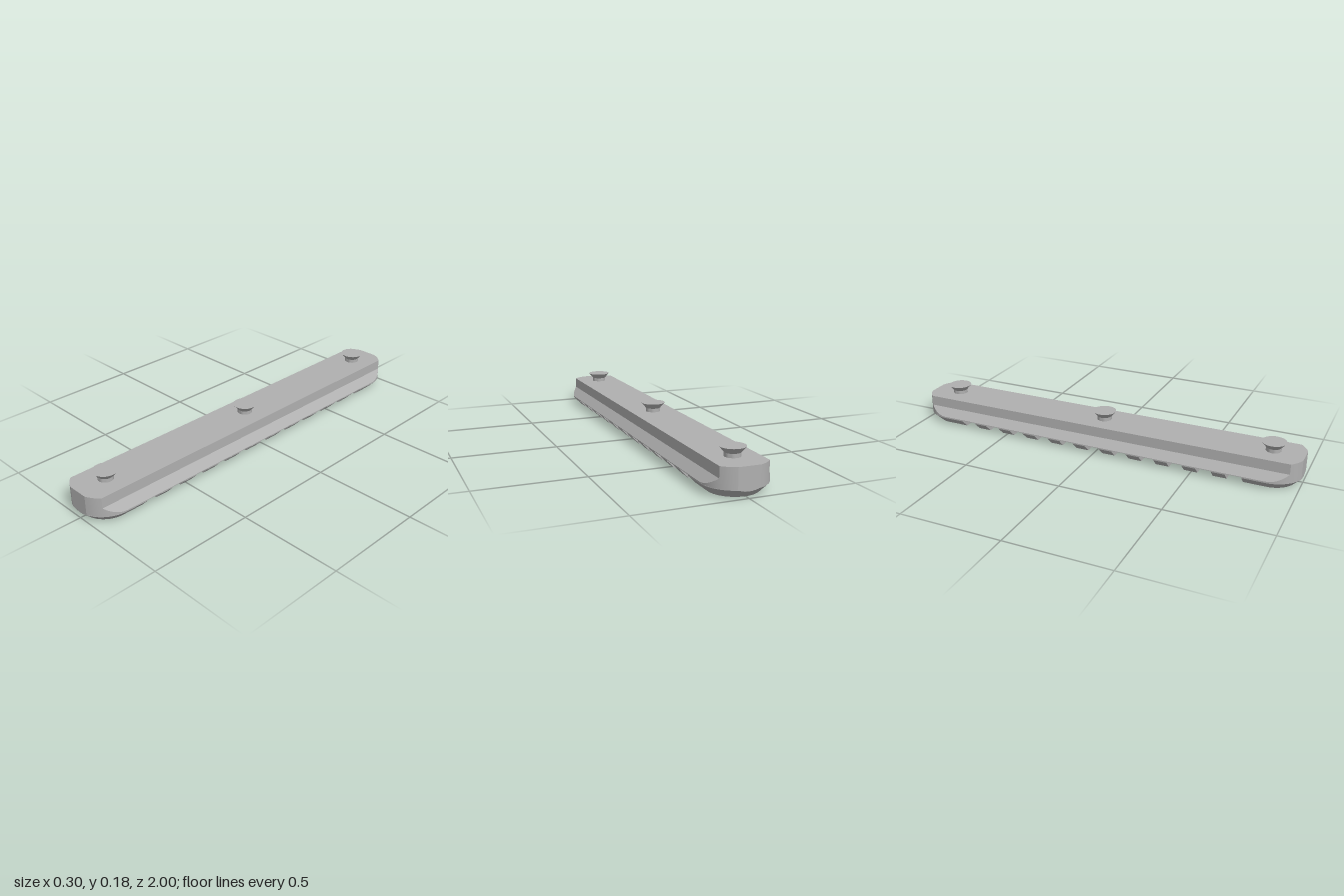
import * as THREE from 'three';
import { toCreasedNormals } from 'three/addons/utils/BufferGeometryUtils.js';

const W = 0.15;        // half width at the widest point
const NECK = 0.112;    // half width of the neck and of the flat underside
const ZC = 0.8586;     // centre of the rounded ends
const SLOT = 0.042;    // height of the slot floors
const TOP = 0.134;
const BORE = 0.062;    // radius of the screw recesses
const SEAT = 0.055;    // height of the screw seats
const SCREWS = [-0.853, 0, 0.853];

// Skin between rows of points; optional end caps, and closing of each row
function loft(rows, { closed = false, flip = false, caps = false } = {}) {
  const out = [];
  const tri = (a, b, c) => out.push(...a, ...(flip ? c : b), ...(flip ? b : c));
  const n = rows[0].length;
  for (let i = 0; i < rows.length - 1; i++) {
    for (let j = 0; j < (closed ? n : n - 1); j++) {
      const k = (j + 1) % n, p = rows[i], q = rows[i + 1];
      tri(p[j], p[k], q[k]);
      tri(p[j], q[k], q[j]);
    }
  }
  if (caps) {
    const a = rows[0], b = rows[rows.length - 1];
    for (let j = 1; j < n - 1; j++) {
      tri(a[0], a[j + 1], a[j]);
      tri(b[0], b[j], b[j + 1]);
    }
  }
  const g = new THREE.BufferGeometry();
  g.setAttribute('position', new THREE.Float32BufferAttribute(out, 3));
  return toCreasedNormals(g, 0.3);
}

function circle(z, r, sides = 32) {
  const path = new THREE.Path();
  for (let i = 0; i < sides; i++) {
    const a = (i / sides) * Math.PI * 2;
    path[i ? 'lineTo' : 'moveTo'](r * Math.cos(a), z + r * Math.sin(a));
  }
  path.closePath();
  return path;
}

// Downward facing flat plate drawn in (x, z)
function underside(points, holes, y) {
  const shape = new THREE.Shape(points.map(([x, z]) => new THREE.Vector2(x, z)));
  shape.holes = holes;
  return new THREE.ShapeGeometry(shape).rotateX(Math.PI / 2).translate(0, y, 0);
}

export function createModel() {
  const model = new THREE.Group();
  const metal = new THREE.MeshStandardMaterial({ color: 0xb0b0b0, side: THREE.DoubleSide });
  metal.name = 'grey metal';
  const add = (name, geometry, parent = model) => {
    const mesh = new THREE.Mesh(geometry, metal);
    mesh.name = name;
    parent.add(mesh);
    return mesh;
  };

  // Stations along the bar: round ends cut flat at z = 1
  const kink = Math.acos(NECK / W), last = Math.asin((1 - ZC) / W);
  const half = [];
  for (let i = 0; i <= 6; i++) half.push((kink * i) / 6);
  for (let i = 1; i <= 4; i++) half.push(kink + ((last - kink) * i) / 4);
  const ends = half.map(a => [W * Math.cos(a), ZC + W * Math.sin(a)]);
  const stations = [...ends.map(([r, z]) => [r, -z]).reverse(), ...ends];

  // Upper bar with sloped shoulders and a narrower neck
  add('railBody', loft(stations.map(([r, z]) => {
    const shoulder = Math.min(0.195 - r, 0.083), neck = Math.min(r, NECK);
    const side = [[r, SLOT], [r, shoulder], [neck, 0.083], [neck, TOP]];
    return [
      ...side.map(([x, y]) => [x, y, z]),
      ...side.reverse().map(([x, y]) => [-x, y, z]),
    ];
  }), { caps: true }));
  add('railTop', loft(stations.map(([r, z]) => {
    const x = Math.min(r, NECK);
    return [[x, TOP, z], [-x, TOP, z]];
  })));
  add('slotFloor', underside(
    [...stations, ...stations.map(([r, z]) => [-r, z]).reverse()],
    SCREWS.map(z => circle(z, BORE)), SLOT));

  // Chamfered blocks under both ends
  const outline = r => {
    const pts = [[r, 0.75]];
    for (let i = 0; i <= 48; i++) {
      const a = (Math.PI * i) / 48;
      pts.push([r * Math.cos(a), Math.min(1, ZC + r * Math.sin(a))]);
    }
    pts.push([-r, 0.75]);
    return pts;
  };
  const levels = [0, 0.0294, 0.032, 0.035, 0.038, SLOT];
  const blockSides = loft(
    levels.map(y => outline(Math.min(W, NECK + y)).map(([x, z]) => [x, y, z])),
    { closed: true, flip: true });
  const blockBase = underside(outline(NECK), [circle(SCREWS[2], BORE)], 0);
  for (const turn of [0, Math.PI]) {
    const block = new THREE.Group();
    block.name = turn ? 'backEndBlock' : 'frontEndBlock';
    block.rotation.y = turn;
    add('blockSides', blockSides, block);
    add('blockBase', blockBase, block);
    model.add(block);
  }

  // Cross teeth; the two beside the middle screw are notched
  const pitch = 0.142, width = 0.067, inner = 0.07;
  const prism = pts => new THREE.ExtrudeGeometry(
    new THREE.Shape(pts.map(([x, y]) => new THREE.Vector2(x, y))),
    { depth: width, bevelEnabled: false }).translate(0, 0, -width / 2);
  const flank = [[NECK, 0], [W, 0.038], [W, SLOT]];
  const fullTooth = prism([...flank, ...flank.map(([x, y]) => [-x, y]).reverse()]);
  const toothSide = prism([[inner, 0], ...flank, [inner, SLOT]]);
  const near = pitch / 2 - width / 2, far = near + width;
  const notch = new THREE.Shape();
  const start = Math.asin(near / BORE);
  notch.moveTo(inner, near);
  notch.lineTo(inner, far);
  notch.lineTo(-inner, far);
  notch.lineTo(-inner, near);
  notch.absarc(0, 0, BORE, Math.PI - start, start, true);
  const toothMiddle = new THREE.ExtrudeGeometry(notch, { depth: SLOT, bevelEnabled: false, curveSegments: 12 })
    .rotateX(Math.PI / 2).translate(0, SLOT, 0);
  for (let i = 0; i < 10; i++) {
    const z = (i - 4.5) * pitch;
    if (i !== 4 && i !== 5) {
      add('tooth', fullTooth).position.z = z;
      continue;
    }
    const tooth = new THREE.Group();
    tooth.name = 'notchedTooth';
    tooth.rotation.y = z < 0 ? Math.PI : 0;
    add('toothMiddle', toothMiddle, tooth);
    for (const turn of [0, Math.PI]) {
      const side = add('toothSide', toothSide, tooth);
      side.position.z = pitch / 2;
      side.rotation.y = turn;
    }
    model.add(tooth);
  }

  // Screws: flared nut on top, recess with a hexagonal socket below
  const v = (x, y) => new THREE.Vector2(x, y);
  const nut = toCreasedNormals(new THREE.LatheGeometry(
    [v(0.036, TOP - 0.002), v(0.036, 0.152), v(0.058, 0.178), v(0, 0.178)], 32), 0.4);
  const seat = underside(circle(0, BORE).getPoints().map(p => [p.x, p.y]), [circle(0, 0.036, 6)], SEAT);
  const socket = [];
  for (const y of [SEAT, 0.1]) {
    socket.push(circle(0, 0.036, 6).getPoints().slice(0, 6).map(p => [p.x, y, p.y]));
  }
  const socketWall = loft(socket, { closed: true });
  const socketEnd = underside(socket[1].map(p => [p[0], p[2]]), [], 0.1);
  for (const z of SCREWS) {
    const screw = new THREE.Group();
    screw.name = 'screw';
    screw.position.z = z;
    add('flaredNut', nut, screw);
    const low = z ? 0 : SLOT;
    add('recessWall', new THREE.CylinderGeometry(BORE, BORE, SEAT - low, 32, 1, true)
      .translate(0, (SEAT + low) / 2, 0), screw);
    add('screwSeat', seat, screw);
    add('socketWall', socketWall, screw);
    add('socketEnd', socketEnd, screw);
    model.add(screw);
  }
  return model;
}
